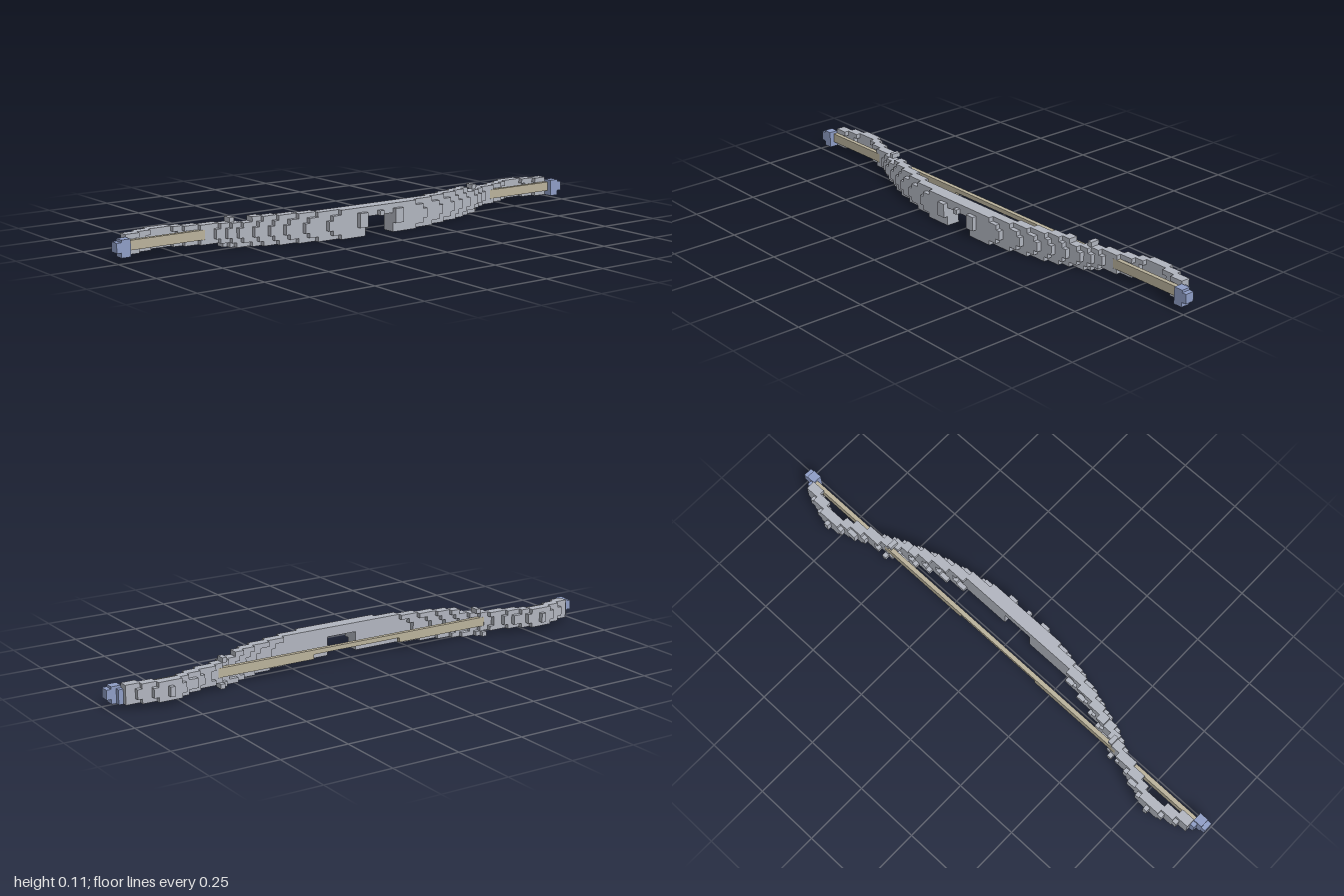
import * as THREE from 'three';

const V = 2 / 113; // one cube of the model's grid

// Bow curve: [end of z range, first column, columns thick]
const CURVE = [
  [0.22, 11, 3], [0.31, 11, 2], [0.38, 10, 2], [0.44, 9, 2], [0.49, 8, 2],
  [0.54, 7, 2], [0.58, 6, 2], [0.61, 5, 2], [0.65, 4, 2], [0.69, 3, 2],
  [0.74, 2, 2], [0.86, 1, 2], [0.91, 2, 2], [9, 3, 2],
];

const curveAt = (z) => CURVE.findIndex(([end]) => z < end);

export function createModel() {
  const grey = new THREE.MeshStandardMaterial({ color: 0xb3b7c1 });
  grey.name = 'greyMetal';
  const tan = new THREE.MeshStandardMaterial({ color: 0xbcb49d });
  tan.name = 'tanString';
  const blue = new THREE.MeshStandardMaterial({ color: 0x909fc8 });
  blue.name = 'blueTip';

  const model = new THREE.Group();
  model.name = 'bow';
  const group = (name) => {
    const g = new THREE.Group();
    g.name = name;
    model.add(g);
    return g;
  };

  // Box between grid lines: columns x0..x1, rows y0..y1, slices n0..n1 from the middle
  const block = (parent, name, mat, x0, x1, y0, y1, n0, n1, inset = 0) => {
    const add = (za, zb) => {
      const mesh = new THREE.Mesh(new THREE.BoxGeometry(
        (x1 - x0) * V - inset, (y1 - y0) * V - inset, (zb - za) * V), mat);
      mesh.position.set(((x0 + x1) / 2 - 7.5) * V, ((y0 + y1) / 2) * V, ((za + zb) / 2) * V);
      mesh.name = name;
      parent.add(mesh);
    };
    if (n0 === 0) add(0.5 - n1, n1 - 0.5);
    else {
      add(n0 - 0.5, n1 - 0.5);
      add(0.5 - n1, 0.5 - n0);
    }
  };

  // Which rows exist at a slice: grip notch, deep riser, slimmer limb tips
  const filled = (row, n) => {
    const z = n * V;
    if (n > 53) return false;
    if (row < 4 && n < 4) return false;
    if (row === 0) return z < 0.575;
    if (row === 5) return z < 0.49 || (z > 0.535 && z < 0.555);
    return true;
  };

  // Riser and recurved limbs, row by row; outer rows lag so the face is rounded
  const body = group('riserAndLimbs');
  const lag = [0.045, 0.018, 0, 0, 0.018, 0.045];
  for (let row = 0; row < 6; row++) {
    const stepAt = (n) => {
      if (!filled(row, n)) return -1;
      const z = n * V;
      return curveAt(z > 0.62 && z < 0.8 ? z - lag[row] : z + lag[row]);
    };
    let start = 0;
    for (let n = 1; n <= 54; n++) {
      const step = stepAt(start);
      if (stepAt(n) === step) continue;
      if (step >= 0) {
        const [, x, thick] = CURVE[step];
        block(body, 'bowSlice', grey, x, x + thick, row, row + 1, start, n);
      }
      start = n;
    }
  }

  // Small raised studs on the grip and limbs
  const studs = group('studs');
  block(studs, 'gripStud', grey, 14, 15, 4, 5, 0, 1);
  block(studs, 'sideStud', grey, 14, 15, 2, 5, 4, 6);
  block(studs, 'limbStud', grey, 0, 1, 2, 4, 45, 46);

  // String, thinner in the middle
  const string = group('string');
  block(string, 'stringMiddle', tan, 5, 6, 3, 4, 0, 11, 0.001);
  block(string, 'stringEnd', tan, 5, 6, 2, 4, 11, 54, 0.001);

  // Tips that hold the string
  const tips = group('tips');
  block(tips, 'tipBody', blue, 5, 7, 1, 4.5, 54, 56);
  block(tips, 'tipHook', blue, 4, 5, 1, 4, 54, 55);
  block(tips, 'tipEnd', blue, 5, 7, 2, 4, 56, 57);

  return model;
}
